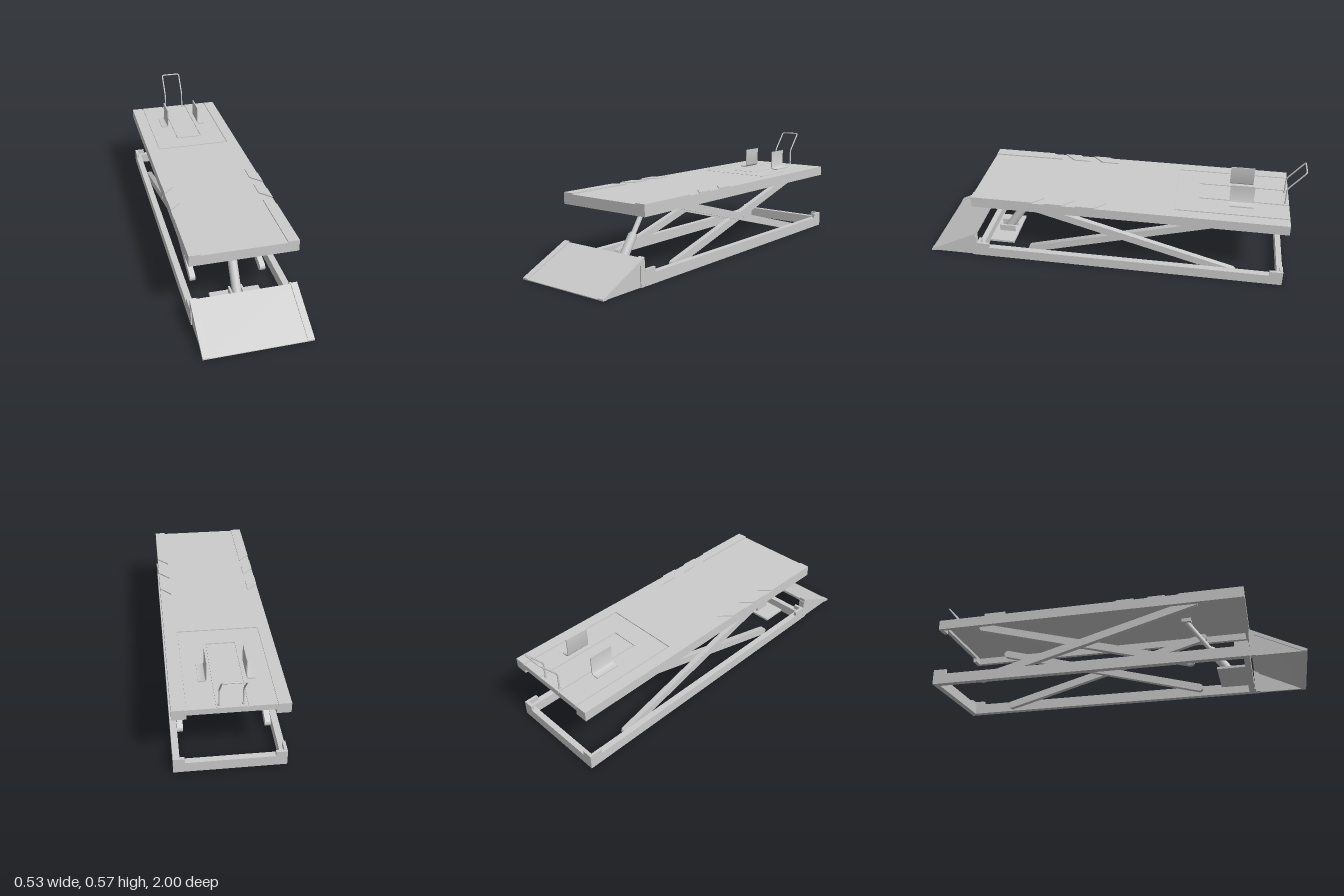
import * as THREE from 'three';
import { toCreasedNormals } from 'three/addons/utils/BufferGeometryUtils.js';

const HALF = 0.267, FRONT = 0.73, BACK = -0.93;

export function createModel() {
  const model = new THREE.Group();
  const material = new THREE.MeshStandardMaterial({ color: 0xcccccc });

  const add = (name, geometry) => {
    const mesh = new THREE.Mesh(geometry, material);
    mesh.name = name;
    model.add(mesh);
    return mesh;
  };
  // Box given by its limits on each axis
  const box = (name, x0, x1, y0, y1, z0, z1) => {
    const mesh = add(name, new THREE.BoxGeometry(Math.abs(x1 - x0), y1 - y0, Math.abs(z1 - z0)));
    mesh.position.set((x0 + x1) / 2, (y0 + y1) / 2, (z0 + z1) / 2);
    return mesh;
  };
  const polygon = (points) => new THREE.Shape(points.map(([a, b]) => new THREE.Vector2(a, b)));
  // Side profile in (z, y), extruded across x
  const sideExtrude = (name, shape, x, width) => {
    const g = new THREE.ExtrudeGeometry(shape, { depth: width, bevelEnabled: false, curveSegments: 12 });
    g.translate(0, 0, -width / 2).rotateY(-Math.PI / 2);
    const mesh = add(name, toCreasedNormals(g, 0.6));
    mesh.position.x = x;
    return mesh;
  };
  // Plan outline in (x, z), extruded upward from y
  const planExtrude = (name, points, y, height) => {
    const g = new THREE.ExtrudeGeometry(polygon(points.map(([x, z]) => [x, -z])), { depth: height, bevelEnabled: false });
    add(name, g.rotateX(-Math.PI / 2)).position.y = y;
  };
  // Cylinder between two points in the x = 0 plane, given as [y, z]
  const rod = (name, [y0, z0], [y1, z1], radius) => {
    const a = new THREE.Vector3(0, y0, z0), b = new THREE.Vector3(0, y1, z1);
    const mesh = add(name, new THREE.CylinderGeometry(radius, radius, a.distanceTo(b), 24));
    mesh.position.copy(a).lerp(b, 0.5);
    mesh.quaternion.setFromUnitVectors(new THREE.Vector3(0, 1, 0), b.sub(a).normalize());
  };

  // Base frame
  box('baseFrontBar', -HALF, HALF, 0, 0.055, FRONT - 0.03, FRONT);
  box('baseBackBar', -HALF, HALF, 0, 0.055, BACK, BACK + 0.03);
  for (const s of [-1, 1]) {
    box('baseSideRail', s * 0.234, s * HALF, 0, 0.055, BACK + 0.03, FRONT - 0.03);
    // Angle-shaped stops standing on the corners
    for (const [end, d] of [[FRONT, -1], [BACK, 1]]) {
      box('cornerStopSide', s * (HALF - 0.015), s * HALF, 0.055, 0.08, end, end + d * 0.07);
      box('cornerStopEnd', s * (HALF - 0.055), s * (HALF - 0.015), 0.055, 0.08, end, end + d * 0.015);
    }
  }
  box('cylinderMountPlate', -0.13, 0.13, 0, 0.012, 0.56, FRONT - 0.03);
  for (const s of [-1, 1]) box('cylinderMountLug', s * 0.026, s * 0.036, 0.012, 0.05, 0.58, 0.67);

  // Approach ramp
  sideExtrude('rampPlate', polygon([[1, 0], [1, 0.004], [0.735, 0.133], [0.735, 0.119], [0.979, 0]]), 0, 0.466);
  for (const s of [-1, 1]) {
    sideExtrude('rampEdge', polygon([[1, 0], [1, 0.008], [0.735, 0.14], [0.735, 0.119], [0.979, 0]]), s * 0.25, 0.034);
    sideExtrude('rampGusset', polygon([[0.98, 0], [0.76, 0.107], [0.76, 0]]), s * 0.255, 0.012);
    box('rampPost', s * 0.233, s * HALF, 0, 0.122, 0.732, 0.76);
  }

  // Scissor arms with rounded ends
  const arm = (name, x, [z0, y0], [z1, y1]) => {
    const a = Math.atan2(y1 - y0, z1 - z0), r = 0.02;
    const shape = new THREE.Shape();
    shape.absarc(z0, y0, r, a + Math.PI / 2, a + Math.PI * 1.5);
    shape.absarc(z1, y1, r, a - Math.PI / 2, a + Math.PI / 2);
    sideExtrude(name, shape, x, 0.029);
  };
  for (const s of [-1, 1]) {
    arm('outerScissorArm', s * 0.2175, [-0.665, 0.028], [0.47, 0.341]);
    arm('innerScissorArm', s * 0.1875, [-0.7, 0.341], [0.435, 0.028]);
    const pivot = add('scissorPivot', new THREE.CylinderGeometry(0.009, 0.009, 0.064, 16));
    pivot.rotation.z = Math.PI / 2;
    pivot.position.set(s * 0.2025, 0.185, -0.115);
  }

  // Hydraulic cylinder
  rod('hydraulicBarrel', [0.018, 0.627], [0.164, 0.527], 0.024);
  rod('hydraulicCap', [0.164, 0.527], [0.172, 0.521], 0.02);
  rod('hydraulicRod', [0.165, 0.526], [0.345, 0.403], 0.013);
  box('rodMount', -0.03, 0.03, 0.335, 0.355, 0.38, 0.43);

  // Platform skirt, lower in the middle of the back
  box('platformFrontSkirt', -HALF, HALF, 0.322, 0.365, FRONT - 0.022, FRONT);
  box('platformBackSkirt', -0.2, 0.2, 0.345, 0.365, BACK, BACK + 0.022);
  for (const s of [-1, 1]) {
    box('platformSideSkirt', s * (HALF - 0.022), s * HALF, 0.322, 0.365, BACK, FRONT - 0.022);
    box('platformBackCorner', s * 0.2, s * (HALF - 0.022), 0.322, 0.365, BACK, BACK + 0.022);
  }

  // Deck with a removable panel and a centre insert, split by shallow grooves
  const top = 0.375, groove = 0.007, px = 0.207, pz = -0.34, cx = 0.075, cz = -0.456;
  box('deckBacking', -HALF + 0.002, HALF - 0.002, 0.36, 0.37, BACK + 0.002, FRONT - 0.002);
  // U-shaped plate open to the back
  const uPlate = (name, outer, front, inner, innerFront) => planExtrude(name, [
    [-outer, front], [outer, front], [outer, BACK], [inner, BACK],
    [inner, innerFront], [-inner, innerFront], [-inner, BACK], [-outer, BACK],
  ], 0.364, top - 0.364);
  uPlate('deckPlate', HALF, FRONT, px, pz);
  uPlate('removablePanel', px - groove, pz - groove, cx, cz);
  box('centreInsert', -cx + groove, cx - groove, 0.364, top, BACK, cz - groove);

  // Raised edge strips and slanted edge plates
  for (const s of [-1, 1]) {
    const xo = s * HALF, xi = s * 0.21;
    const strip = (name, a, b, ai) => planExtrude(name, [[xo, a], [xi, ai], [xi, b - 0.06], [xo, b]], top, 0.006);
    strip('edgeStrip', FRONT, 0.4, FRONT);
    strip('edgePlate', 0.33, 0.24, 0.27);
    strip('edgePlate', 0.165, 0.07, 0.105);
  }

  // Wheel guides: bent plates with a foot turned outward
  for (const s of [-1, 1]) {
    const guide = new THREE.Shape();
    guide.moveTo(0.132, 0);
    guide.lineTo(0.132, 0.006);
    guide.lineTo(0.108, 0.006);
    guide.absarc(0.108, 0.019, 0.013, -Math.PI / 2, -Math.PI, true);
    guide.lineTo(0.095, 0.108);
    guide.lineTo(0.09, 0.108);
    guide.lineTo(0.09, 0.018);
    guide.absarc(0.108, 0.018, 0.018, Math.PI, Math.PI * 1.5, false);
    const g = new THREE.ExtrudeGeometry(guide, { depth: 0.126, bevelEnabled: false, curveSegments: 8 });
    g.translate(0, 0, -0.063);
    if (s < 0) g.rotateY(Math.PI);
    add('wheelGuide', toCreasedNormals(g, 0.6)).position.set(0, top, -0.683);
  }

  // Push handle: bent tube with rounded corners
  const corners = [
    [-0.054, 0.372, -0.91], [-0.054, 0.463, -0.91], [-0.054, 0.567, -0.996],
    [0.054, 0.567, -0.996], [0.054, 0.463, -0.91], [0.054, 0.372, -0.91],
  ].map((p) => new THREE.Vector3(...p));
  const path = new THREE.CurvePath();
  let last = corners[0];
  for (let i = 1; i < corners.length - 1; i++) {
    const toward = (q) => corners[i].clone().add(q.clone().sub(corners[i]).setLength(0.014));
    const a = toward(corners[i - 1]), b = toward(corners[i + 1]);
    path.add(new THREE.LineCurve3(last, a));
    path.add(new THREE.QuadraticBezierCurve3(a, corners[i], b));
    last = b;
  }
  path.add(new THREE.LineCurve3(last, corners[5]));
  add('pushHandle', new THREE.TubeGeometry(path, 160, 0.004, 10, false));
  for (const s of [-1, 1]) {
    add('handleSocket', new THREE.CylinderGeometry(0.0065, 0.0065, 0.012, 16)).position.set(s * 0.054, 0.379, -0.91);
  }

  return model;
}
